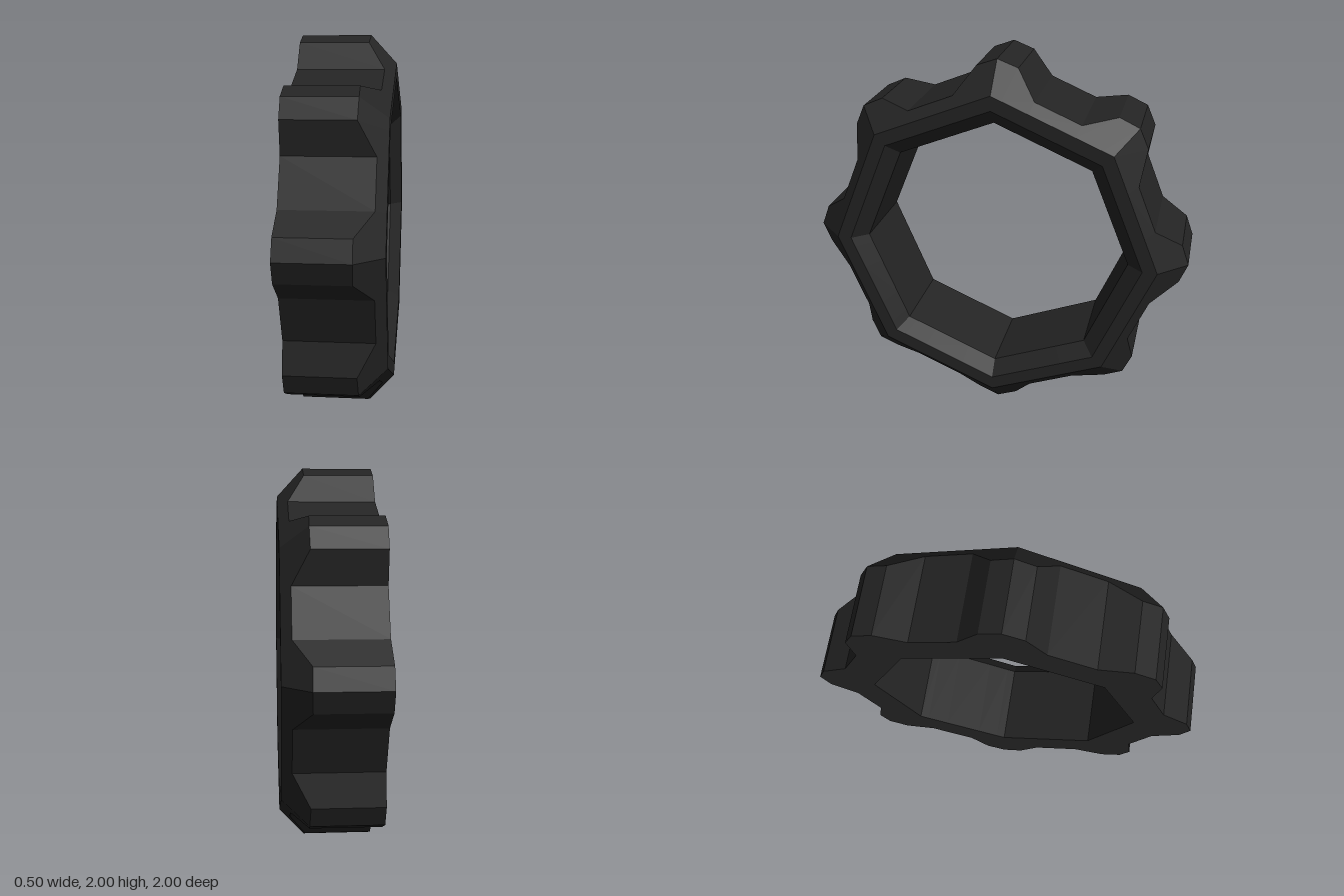
import * as THREE from 'three';

const SIDES = 8;
const STEP = (Math.PI * 2) / SIDES;
const HALF = 0.2475;      // half the width along the axis
const FACE_R = 0.855;     // octagon corner radius at the edge of the flat rim
const LIP_R = 0.78;       // inner edge of the flat rim
const BORE_R = 0.7;       // bore corner radius
const LIP_DEPTH = 0.065;  // depth of the bevel leading into the bore

// Outline of one eighth, from lug tip to lug tip:
// [angle, radius, fraction along the octagon side]
const OUTLINE = [
  [0, 1.0, 0],
  [0.109, 0.966, 0.09],
  [0.2436, 0.85, 0.31],
  [STEP - 0.2436, 0.85, 0.69],
  [STEP - 0.109, 0.966, 0.91],
];

const polar = (x, r, a) => new THREE.Vector3(x, r * Math.cos(a), r * Math.sin(a));

// Closed cross-section at one outline point of one side
function section(side, [angle, radius, t]) {
  const start = side * STEP;
  const onOctagon = (x, r) => polar(x, r, start).lerp(polar(x, r, start + STEP), t);
  // The front chamfer is one sloped plane per octagon side
  const rise = radius * Math.cos(angle - STEP / 2) - FACE_R * Math.cos(STEP / 2);
  return [
    polar(-HALF, radius, start + angle),
    polar(HALF - rise, radius, start + angle),
    onOctagon(HALF, FACE_R),
    onOctagon(HALF, LIP_R),
    onOctagon(HALF - LIP_DEPTH, BORE_R),
    onOctagon(-HALF, BORE_R),
  ];
}

function ringGeometry() {
  const sections = [];
  for (let side = 0; side < SIDES; side++) {
    for (const point of OUTLINE) sections.push(section(side, point));
  }
  // Join neighbouring sections with flat quads
  const points = [];
  sections.forEach((s, i) => {
    const next = sections[(i + 1) % sections.length];
    s.forEach((a, j) => {
      const k = (j + 1) % s.length;
      const b = s[k], c = next[k], d = next[j];
      points.push(a, d, c, a, c, b);
    });
  });
  const geometry = new THREE.BufferGeometry().setFromPoints(points);
  geometry.computeVertexNormals();
  return geometry;
}

export function createModel() {
  const group = new THREE.Group();
  group.name = 'lobedRing';

  const black = new THREE.MeshStandardMaterial({ color: 0x242424, flatShading: true });
  black.name = 'charcoal';

  // Octagonal ring with a lug on every corner, standing on its lowest lug
  const ring = new THREE.Mesh(ringGeometry(), black);
  ring.name = 'luggedRing';
  ring.position.y = 1;
  group.add(ring);

  return group;
}
